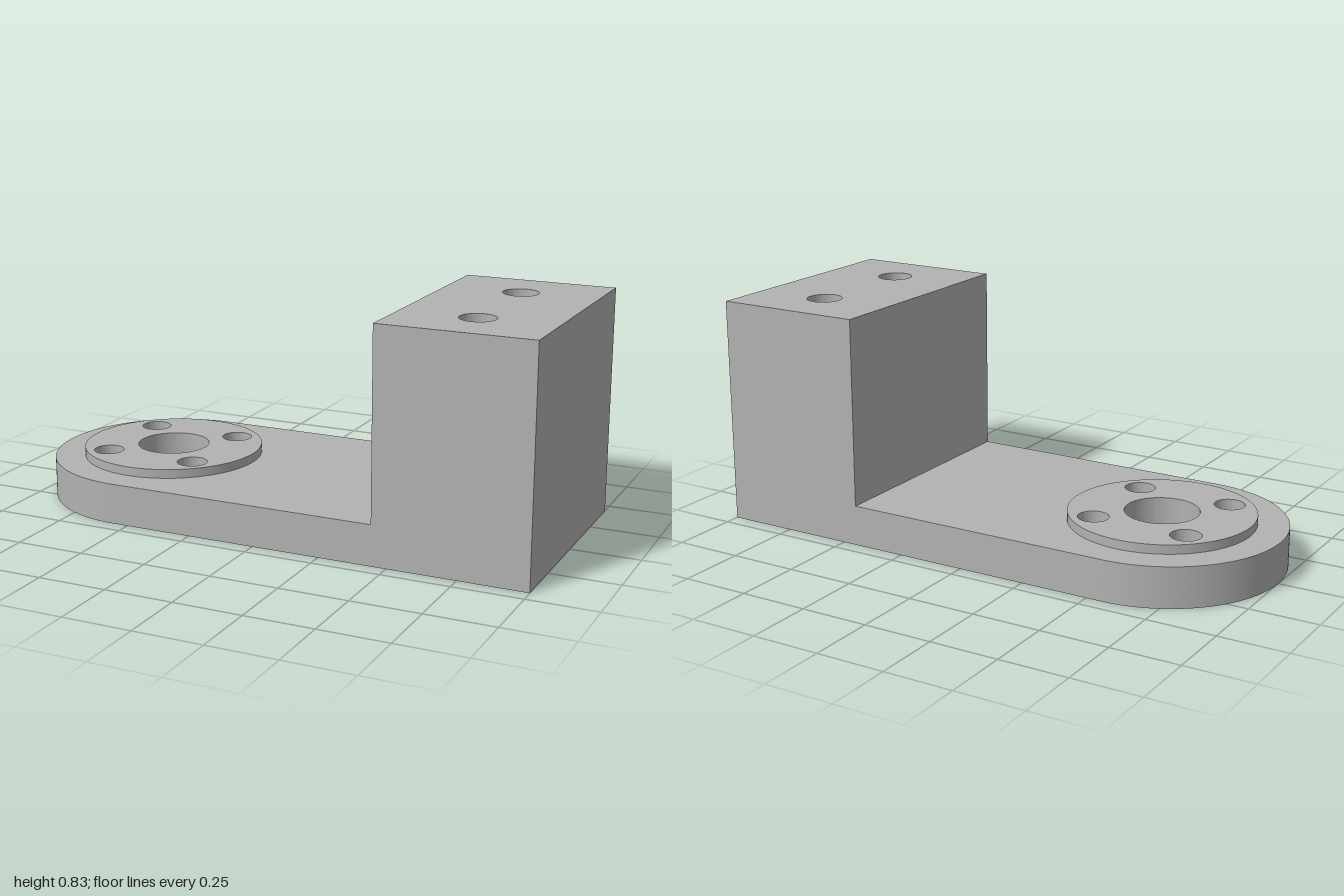
import * as THREE from 'three';
import { toCreasedNormals } from 'three/addons/utils/BufferGeometryUtils.js';

const HALF = 0.444;            // half width and end radius
const HUB_X = -0.556;          // centre of the rounded end
const BLOCK_X = 0.444;         // inner face of the raised block
const STEP = 0.085, PLATE = 0.148, DISC = 0.181, TOP = 0.833;

function punch(shape, x, y, r) {
  shape.holes.push(new THREE.Path().absarc(x, y, r, 0, Math.PI * 2, true));
}

// Centre bore and four screw holes in the hub
function punchHub(shape, screwRadius) {
  punch(shape, HUB_X, 0, 0.133);
  for (const sx of [-1, 1]) for (const sy of [-1, 1]) {
    punch(shape, HUB_X + sx * 0.177, sy * 0.177, screwRadius);
  }
}

// Two mounting holes through the block
function punchBlock(shape) {
  for (const s of [-1, 1]) punch(shape, 0.722, s * 0.222, 0.064);
}

function plateShape(screwRadius) {
  const s = new THREE.Shape();
  s.moveTo(1, -HALF);
  s.lineTo(1, HALF);
  s.lineTo(HUB_X, HALF);
  s.absarc(HUB_X, 0, HALF, Math.PI / 2, Math.PI * 1.5, false);
  s.closePath();
  punchHub(s, screwRadius);
  punchBlock(s);
  return s;
}

export function createModel() {
  const model = new THREE.Group();
  model.name = 'mountingBracket';
  const grey = new THREE.MeshStandardMaterial({ color: 0xb2b2b2 });
  grey.name = 'grey';

  // Extrudes a plan shape upward from y0 to y1
  const slab = (name, shape, y0, y1) => {
    const geo = new THREE.ExtrudeGeometry(shape, { depth: y1 - y0, bevelEnabled: false, curveSegments: 48 });
    geo.rotateX(-Math.PI / 2).translate(0, y0, 0);
    const mesh = new THREE.Mesh(toCreasedNormals(geo, 0.5), grey);
    mesh.name = name;
    model.add(mesh);
  };

  // Base plate: wide counterbores below, narrow screw holes above
  slab('plateLower', plateShape(0.092), 0, STEP);
  slab('plateUpper', plateShape(0.055), STEP, PLATE);

  // Raised disc around the hub
  const disc = new THREE.Shape().absarc(HUB_X, 0, 0.333, 0, Math.PI * 2, false);
  punchHub(disc, 0.055);
  slab('hubDisc', disc, PLATE, DISC);

  // Tall mounting block
  const block = new THREE.Shape();
  block.moveTo(BLOCK_X, -HALF);
  block.lineTo(1, -HALF);
  block.lineTo(1, HALF);
  block.lineTo(BLOCK_X, HALF);
  block.closePath();
  punchBlock(block);
  slab('mountingBlock', block, PLATE, TOP);

  return model;
}
